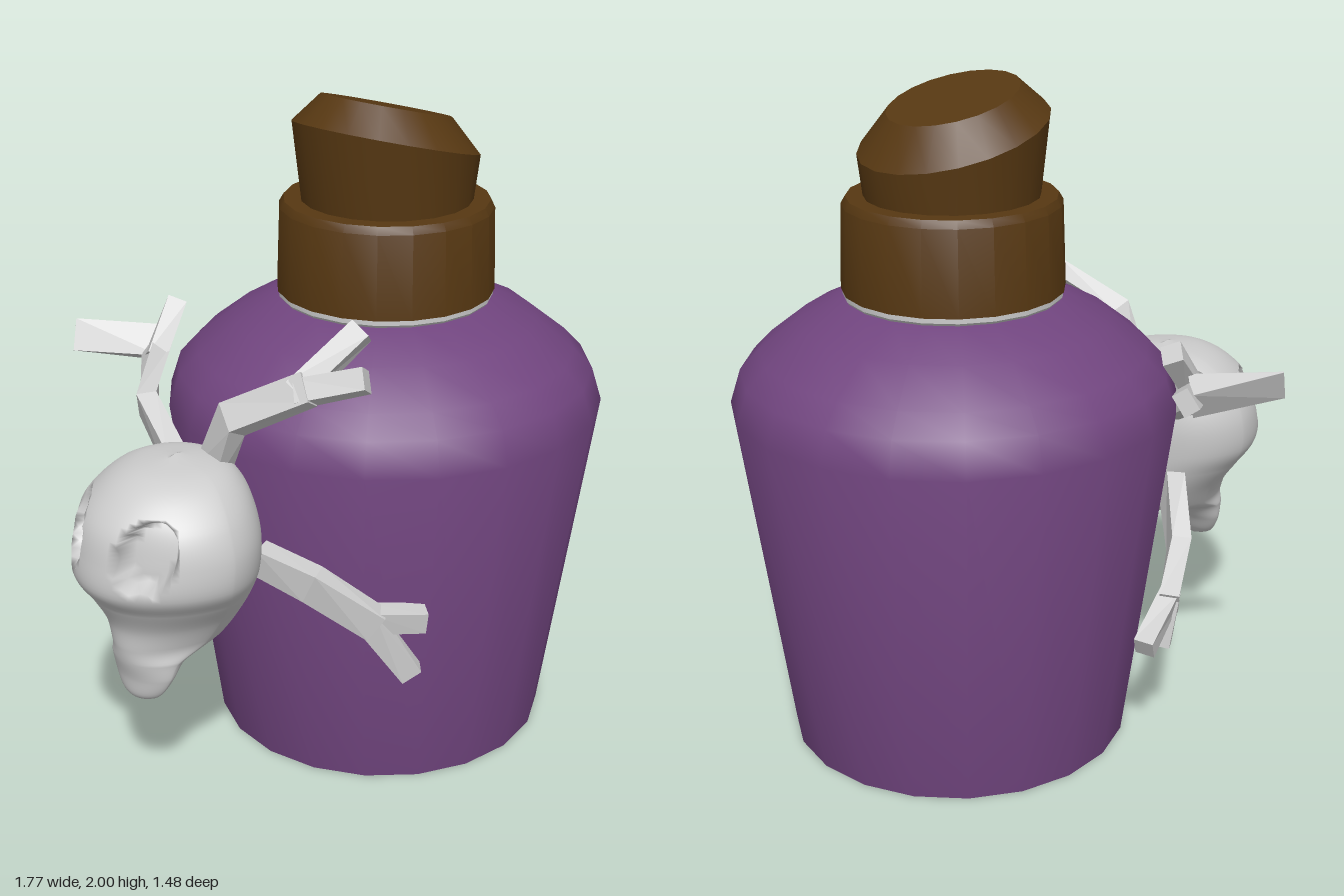
import * as THREE from 'three';
import { toCreasedNormals } from 'three/addons/utils/BufferGeometryUtils.js';
import { ParametricGeometry } from 'three/addons/geometries/ParametricGeometry.js';

const AXIS = new THREE.Vector3(0.225, 0, 0.07);
const SIDES = 20;
const V = (p) => new THREE.Vector3(...p);

const purple = new THREE.MeshStandardMaterial({ color: 0x71457f });
const brown = new THREE.MeshStandardMaterial({ color: 0x573812 });
const bone = new THREE.MeshStandardMaterial({ color: 0xcccccc });

function addMesh(parent, name, geometry, material) {
  const mesh = new THREE.Mesh(geometry, material);
  mesh.name = name;
  parent.add(mesh);
  return mesh;
}

// Turned part around the bottle axis; rule may move each vertex
function turned(parent, name, profile, material, crease, rule) {
  const geo = new THREE.LatheGeometry(profile.map(([r, y]) => new THREE.Vector2(r, y)), SIDES);
  if (rule) {
    const p = geo.attributes.position;
    const v = new THREE.Vector3();
    for (let i = 0; i < p.count; i++) {
      rule(v.fromBufferAttribute(p, i));
      p.setXYZ(i, v.x, v.y, v.z);
    }
  }
  const mesh = addMesh(parent, name, toCreasedNormals(geo, crease), material);
  mesh.position.copy(AXIS);
}

// Square-edged bone following a chain of points, lying flat on the bottle
function boneChain(parent, name, points, widths, thick = 0.06) {
  const pts = points.map(V);
  const rings = pts.map((p, i) => {
    const a = pts[Math.max(i - 1, 0)], b = pts[Math.min(i + 1, pts.length - 1)];
    const d = b.clone().sub(a).normalize();
    const n = p.clone().sub(AXIS).setY(0).normalize();
    n.y = p.y > 1.1 ? 0.7 : -0.1;
    n.addScaledVector(d, -n.dot(d)).normalize();
    const s = new THREE.Vector3().crossVectors(n, d);
    return [[1, 1], [-1, 1], [-1, -1], [1, -1]].map(([i1, j1]) =>
      p.clone().addScaledVector(s, i1 * widths[i] / 2).addScaledVector(n, j1 * thick / 2));
  });
  const tris = [];
  const quad = (a, b, c, d) => tris.push(a, b, c, a, c, d);
  for (let i = 0; i < rings.length - 1; i++) {
    for (let j = 0; j < 4; j++) {
      const k = (j + 1) % 4;
      quad(rings[i][j], rings[i][k], rings[i + 1][k], rings[i + 1][j]);
    }
  }
  const first = rings[0], last = rings[rings.length - 1];
  quad(first[3], first[2], first[1], first[0]);
  quad(last[0], last[1], last[2], last[3]);
  const geo = new THREE.BufferGeometry().setFromPoints(tris);
  geo.computeVertexNormals();
  addMesh(parent, name, geo, bone);
}

// Skull lofted over height: [front x, y, half width] and [back x]
function skullGeometry() {
  const rows = [
    [-0.735, 0.36, 0.0, -0.725], [-0.765, 0.39, 0.07, -0.69], [-0.775, 0.45, 0.11, -0.655],
    [-0.79, 0.505, 0.125, -0.6], [-0.797, 0.55, 0.15, -0.42], [-0.805, 0.62, 0.19, -0.37],
    [-0.845, 0.7, 0.245, -0.36], [-0.888, 0.77, 0.285, -0.36], [-0.88, 0.86, 0.29, -0.36],
    [-0.855, 0.94, 0.265, -0.37], [-0.79, 1.01, 0.21, -0.39], [-0.71, 1.055, 0.14, -0.43],
    [-0.57, 1.08, 0.0, -0.56],
  ];
  const front = new THREE.CatmullRomCurve3(rows.map(([x, y, w]) => new THREE.Vector3(x, y, w)));
  const back = new THREE.CatmullRomCurve3(rows.map(([, y, , x]) => new THREE.Vector3(x, y, 0)));
  const f = new THREE.Vector3(), b = new THREE.Vector3();
  return new ParametricGeometry((u, v, out) => {
    front.getPoint(v, f);
    back.getPoint(v, b);
    const a = u * Math.PI * 2, c = Math.cos(a);
    const mid = (f.x + b.x) / 2, half = (b.x - f.x) / 2;
    // pinch the face toward the nose
    const reach = c < 0 ? -Math.pow(-c, 1.35) : c;
    out.set(mid + half * reach, f.y, -0.02 - Math.max(f.z, 0) * Math.sin(a));
    // hollow eye sockets
    if (c < 0) {
      for (const side of [-1, 1]) {
        const dz = (out.z + 0.03 - side * 0.145) / 0.068, dy = (out.y - 0.88) / 0.095;
        const depth = THREE.MathUtils.smoothstep(1.15 - Math.hypot(dz, dy), 0, 0.35);
        out.x += 0.085 * depth;
        out.z -= side * 0.03 * depth;
      }
    }
  }, 80, 72);
}

export function createModel() {
  const model = new THREE.Group();
  model.name = 'potionBottle';

  // Bottle and stopper
  turned(model, 'bottleBody', [[0, 0], [0.515, 0], [0.66, 1.06], [0.628, 1.16], [0.57, 1.22],
    [0.455, 1.31], [0.31, 1.38], [0, 1.38]], purple, 0.65);
  turned(model, 'neckRing', [[0, 1.37], [0.31, 1.37], [0.322, 1.385], [0.322, 1.402], [0, 1.402]], bone, 0.6);
  turned(model, 'stopperCollar', [[0, 1.4], [0.326, 1.4], [0.318, 1.65], [0.305, 1.672], [0, 1.672]], brown, 0.5);
  turned(model, 'stopperTop', [[0, 1.65], [0.252, 1.65], [0.275, 1.85], [0.19, 1.945], [0, 1.945]],
    brown, 0.5, (v) => {
      if (v.y < 1.7) return;
      v.y -= 0.27 * v.x;
      v.x -= 0.008;
    });

  // Skull
  addMesh(model, 'skull', skullGeometry(), bone);

  // Four bony limbs, each an arm and two fingers
  const limbs = [
    { name: 'upperFrontLimb', arm: [[-0.45, 0.98, 0.0], [-0.45, 1.18, 0.09], [-0.34, 1.29, 0.28]],
      fingers: [[-0.18, 1.43, 0.33], [-0.26, 1.33, 0.42]] },
    { name: 'upperBackLimb', arm: [[-0.4, 0.95, -0.2], [-0.34, 1.06, -0.38], [-0.17, 1.15, -0.52]],
      fingers: [[-0.07, 1.28, -0.53]] },
    { name: 'lowerBackLimb', arm: [[-0.42, 0.7, -0.2], [-0.32, 0.55, -0.34], [-0.17, 0.44, -0.45]],
      fingers: [[-0.02, 0.36, -0.5], [-0.16, 0.3, -0.43]] },
    { name: 'lowerFrontLimb', arm: [[-0.42, 0.76, 0.16], [-0.38, 0.72, 0.33], [-0.27, 0.6, 0.48]],
      fingers: [[-0.155, 0.605, 0.56], [-0.2, 0.44, 0.55]] },
  ];
  for (const { name, arm, fingers } of limbs) {
    const limb = new THREE.Group();
    limb.name = name;
    boneChain(limb, 'arm', arm, [0.09, 0.1, 0.09]);
    fingers.forEach((tip, i) => {
      const root = V(arm[2]).lerp(V(arm[1]), 0.15).toArray();
      boneChain(limb, `finger${i + 1}`, [root, tip], [0.07, 0.065]);
    });
    model.add(limb);
  }

  // Pointed claw on the upper back limb
  const claw = model.getObjectByName('upperBackLimb');
  boneChain(claw, 'clawRoot', [[-0.2, 1.13, -0.5], [-0.05, 1.16, -0.61]], [0.07, 0.07], 0.05);
  boneChain(claw, 'clawTip', [[-0.12, 1.15, -0.56], [-0.315, 1.185, -0.735]], [0.08, 0.004], 0.1);

  return model;
}
